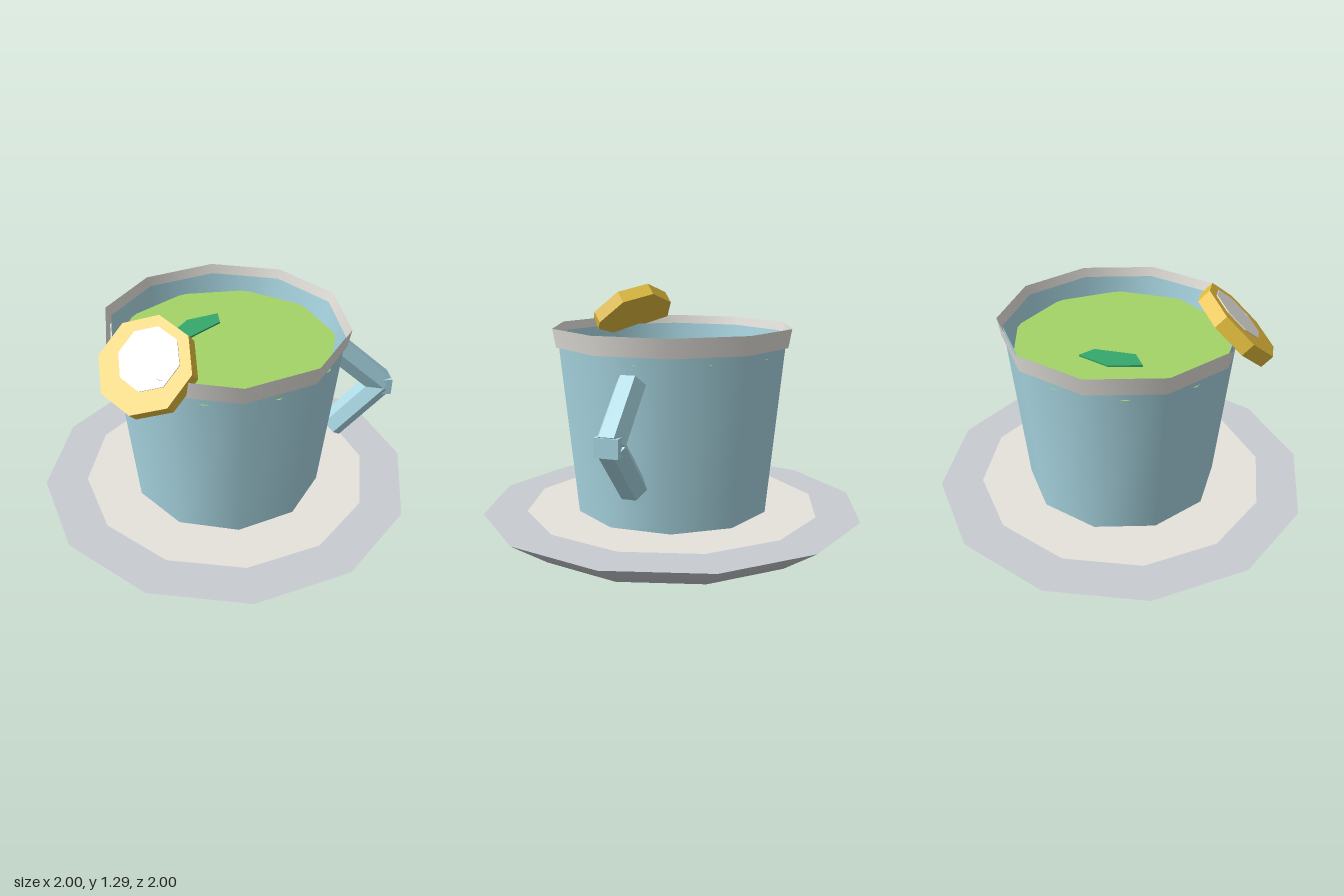
import * as THREE from 'three';

const mat = (name, color, side = THREE.FrontSide) => {
  const m = new THREE.MeshStandardMaterial({ color, side });
  m.name = name;
  return m;
};

// hard-edged copy of a geometry
const faceted = (g) => {
  const out = g.toNonIndexed();
  out.computeVertexNormals();
  return out;
};

// flat polygon in the ground plane; points are [x, -z]
const flatPolygon = (points, depth) => {
  const shape = new THREE.Shape(points.map(([x, y]) => new THREE.Vector2(x, y)));
  return new THREE.ExtrudeGeometry(shape, { depth, bevelEnabled: false }).rotateX(-Math.PI / 2);
};

export function createModel() {
  const group = new THREE.Group();
  const blue = mat('cup blue', 0xaad8e4, THREE.DoubleSide);
  const white = mat('warm white', 0xe6e3dd, THREE.DoubleSide);
  const grey = mat('saucer grey', 0xc8ccd1);
  const green = mat('tea green', 0xa5d468, THREE.DoubleSide);
  const leafGreen = mat('leaf green', 0x35a86c);
  const gold = mat('biscuit gold', 0xe6bf3e);

  const add = (name, geometry, material, parent = group) => {
    const mesh = new THREE.Mesh(geometry, material);
    mesh.name = name;
    parent.add(mesh);
    return mesh;
  };

  // Saucer: flared underside, flat top and pale inner disc
  const saucerProfile = [[0, 0], [0.8, 0], [1, 0.132]].map(([x, y]) => new THREE.Vector2(x, y));
  add('saucerUnderside', new THREE.LatheGeometry(saucerProfile, 12), grey);
  add('saucerTop', new THREE.CircleGeometry(1, 12).rotateX(-Math.PI / 2), grey).position.y = 0.132;
  add('saucerInnerDisc', new THREE.CircleGeometry(0.775, 12).rotateX(-Math.PI / 2), white).position.y = 0.136;

  // Cup: tapered open wall with a separate rim band
  add('cupWall', new THREE.CylinderGeometry(0.6, 0.508, 0.92, 10, 1, true), blue).position.y = 0.592;
  add('cupRim', new THREE.CylinderGeometry(0.627, 0.61, 0.095, 10, 1, true), white).position.y = 1.0485;

  // Tea surface, turned half a side against the cup, and a floating leaf
  const tea = add('tea', new THREE.CircleGeometry(0.57, 10).rotateX(-Math.PI / 2), green);
  tea.position.y = 0.962;
  const leafOutline = [[-0.28, 0.09], [-0.177, 0.05], [-0.01, 0.18], [-0.01, 0.275], [-0.177, 0.225]];
  add('leaf', flatPolygon(leafOutline, 0.009), leafGreen).position.y = 0.967;

  // Handle: two six-sided bars meeting at a small block
  const handle = new THREE.Group();
  handle.name = 'handle';
  group.add(handle);
  const elbow = new THREE.Vector3(0.84, 0.647, 0);
  for (const [name, x, y] of [['upperHandleBar', 0.585, 0.88], ['lowerHandleBar', 0.582, 0.382]]) {
    const start = new THREE.Vector3(x, y, 0);
    const dir = elbow.clone().sub(start);
    const bar = add(name, faceted(new THREE.CylinderGeometry(0.073, 0.073, dir.length(), 6)), blue, handle);
    bar.position.copy(start).add(elbow).multiplyScalar(0.5);
    bar.rotation.z = Math.atan2(-dir.x, dir.y);
  }
  add('handleElbow', new THREE.BoxGeometry(0.05, 0.09, 0.115), blue, handle).position.set(0.863, 0.645, 0);

  // Biscuit leaning on the rim: eight-sided disc with a thin pale centre
  const biscuit = new THREE.Group();
  biscuit.name = 'biscuit';
  const axisX = new THREE.Vector3(0.085, 0.167, -0.152).normalize();
  const axisZ = axisX.clone().cross(new THREE.Vector3(-0.389, 0.722, 0.576)).normalize();
  const axisY = axisZ.clone().cross(axisX);
  biscuit.setRotationFromMatrix(new THREE.Matrix4().makeBasis(axisX, axisY, axisZ));
  biscuit.position.set(-0.427, 1.123, 0.417);
  group.add(biscuit);
  const thickness = 0.077;
  add('biscuitDisc', faceted(new THREE.CylinderGeometry(0.241, 0.241, thickness, 8)), gold, biscuit)
    .position.y = -thickness / 2;
  add('biscuitIcing', faceted(new THREE.CylinderGeometry(0.157, 0.157, 0.008, 8)), white, biscuit)
    .position.set(0.03, 0.001, 0.014);

  return group;
}
